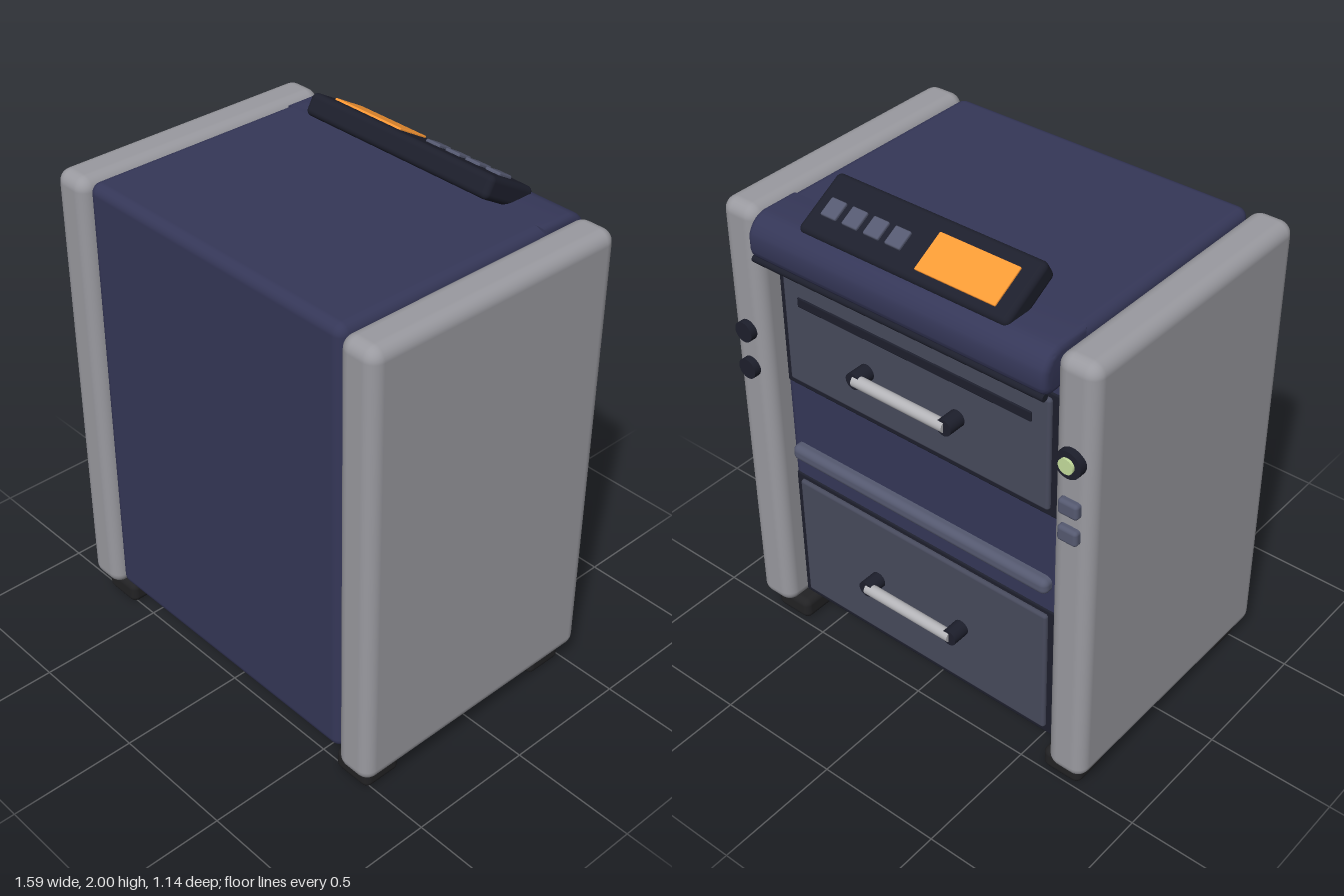
import * as THREE from 'three';
import { RoundedBoxGeometry } from 'three/addons/geometries/RoundedBoxGeometry.js';
import { toCreasedNormals } from 'three/addons/utils/BufferGeometryUtils.js';

const mat = (color) => new THREE.MeshStandardMaterial({ color });
const navy = mat(0x353758), grey = mat(0x9a9aa0), slate = mat(0x474a5c), rail = mat(0x555970);
const dark = mat(0x1d1f2c), rubber = mat(0x222224), steel = mat(0xb4b4b8);
const orange = mat(0xff9a35), lens = mat(0xc4dc9c);

function add(parent, name, geometry, material, x = 0, y = 0, z = 0) {
  const mesh = new THREE.Mesh(geometry, material);
  mesh.name = name;
  mesh.position.set(x, y, z);
  parent.add(mesh);
  return mesh;
}
const rbox = (w, h, d, r) => new RoundedBoxGeometry(w, h, d, 4, r);
const disc = (r, depth) => new THREE.CylinderGeometry(r, r, depth, 32).rotateX(Math.PI / 2);

// Overhanging lip along the top edge on the drawer side
function lipGeometry() {
  const s = new THREE.Shape();
  s.moveTo(-0.35, 1.715);
  s.lineTo(-0.35, 1.88);
  s.lineTo(-0.49, 1.88);
  s.quadraticCurveTo(-0.55, 1.87, -0.57, 1.81);
  s.lineTo(-0.57, 1.755);
  s.quadraticCurveTo(-0.565, 1.725, -0.535, 1.715);
  s.closePath();
  const b = 0.025, w = 1.262;
  const g = new THREE.ExtrudeGeometry(s, {
    depth: w - 2 * b, curveSegments: 8, bevelEnabled: true,
    bevelSize: b, bevelOffset: -b, bevelThickness: b, bevelSegments: 4,
  });
  g.translate(0, 0, -(w - 2 * b) / 2).rotateY(-Math.PI / 2);
  return toCreasedNormals(g, 0.7);
}

// Drawer front with dark surround and bar handle
function drawer(name, bottom, top, handleY) {
  const g = new THREE.Group();
  g.name = name;
  const h = top - bottom, y = (top + bottom) / 2;
  add(g, 'drawerSurround', rbox(1.22, h, 0.06, 0.008), dark, 0, y, -0.43);
  add(g, 'drawerFront', rbox(1.16, h - 0.05, 0.06, 0.012), slate, 0, y + 0.005, -0.445);
  for (const s of [-1, 1]) add(g, 'handleMount', disc(0.032, 0.075), dark, s * 0.2, handleY, -0.508);
  const rod = new THREE.CylinderGeometry(0.023, 0.023, 0.4, 24).rotateZ(Math.PI / 2);
  add(g, 'handleBar', rod, steel, 0, handleY, -0.535);
  return g;
}

export function createModel() {
  const model = new THREE.Group();
  model.name = 'drawerCabinet';

  // Cabinet shell
  add(model, 'body', rbox(1.26, 1.765, 1.0, 0.04), navy, 0, 0.9975, 0.045);
  add(model, 'topLip', lipGeometry(), navy);
  const trim = new THREE.CylinderGeometry(0.014, 0.014, 1.24, 16).rotateZ(Math.PI / 2);
  add(model, 'lipTrim', trim, dark, 0, 1.715, -0.553);
  for (const s of [-1, 1]) {
    add(model, 'sidePanel', rbox(0.16, 1.8, 1.1, 0.05), grey, s * 0.714, 0.98, 0.017);
    for (const z of [0.443, -0.408])
      add(model, 'foot', rbox(0.165, 0.092, 0.165, 0.028), rubber, s * 0.67, 0.046, z);
  }

  // Drawers, slot and divider rail
  model.add(drawer('upperDrawer', 1.16, 1.66, 1.39));
  model.add(drawer('lowerDrawer', 0.14, 0.74, 0.44));
  add(model, 'drawerSlot', rbox(1.02, 0.04, 0.02, 0.005), dark, 0, 1.545, -0.47);
  add(model, 'dividerRail', rbox(1.18, 0.065, 0.07, 0.025), rail, 0, 0.86, -0.46);

  // Tilted control panel with screen and four keys
  const panel = new THREE.Group();
  panel.name = 'controlPanel';
  panel.position.set(0, 1.914, -0.395);
  panel.rotation.x = -Math.PI / 6;
  add(panel, 'panelHousing', rbox(0.88, 0.085, 0.245, 0.022), dark);
  add(panel, 'screen', rbox(0.328, 0.014, 0.15, 0.004), orange, -0.211, 0.043, -0.01);
  for (let i = 0; i < 4; i++)
    add(panel, 'key', rbox(0.066, 0.02, 0.072, 0.006), rail, 0.074 + i * 0.093, 0.043, -0.012);
  model.add(panel);

  // Indicator lamp and two push buttons on one side panel
  add(model, 'lampBezel', disc(0.052, 0.05), dark, -0.715, 1.508, -0.535);
  add(model, 'lampLens', disc(0.029, 0.05), lens, -0.715, 1.508, -0.545);
  for (const y of [1.325, 1.215])
    add(model, 'pushButton', rbox(0.08, 0.062, 0.045, 0.014), rail, -0.715, y, -0.535);

  // Two round knobs on the other side panel
  for (const y of [1.375, 1.217])
    add(model, 'knob', disc(0.04, 0.05), dark, 0.71, y, -0.535);

  return model;
}
